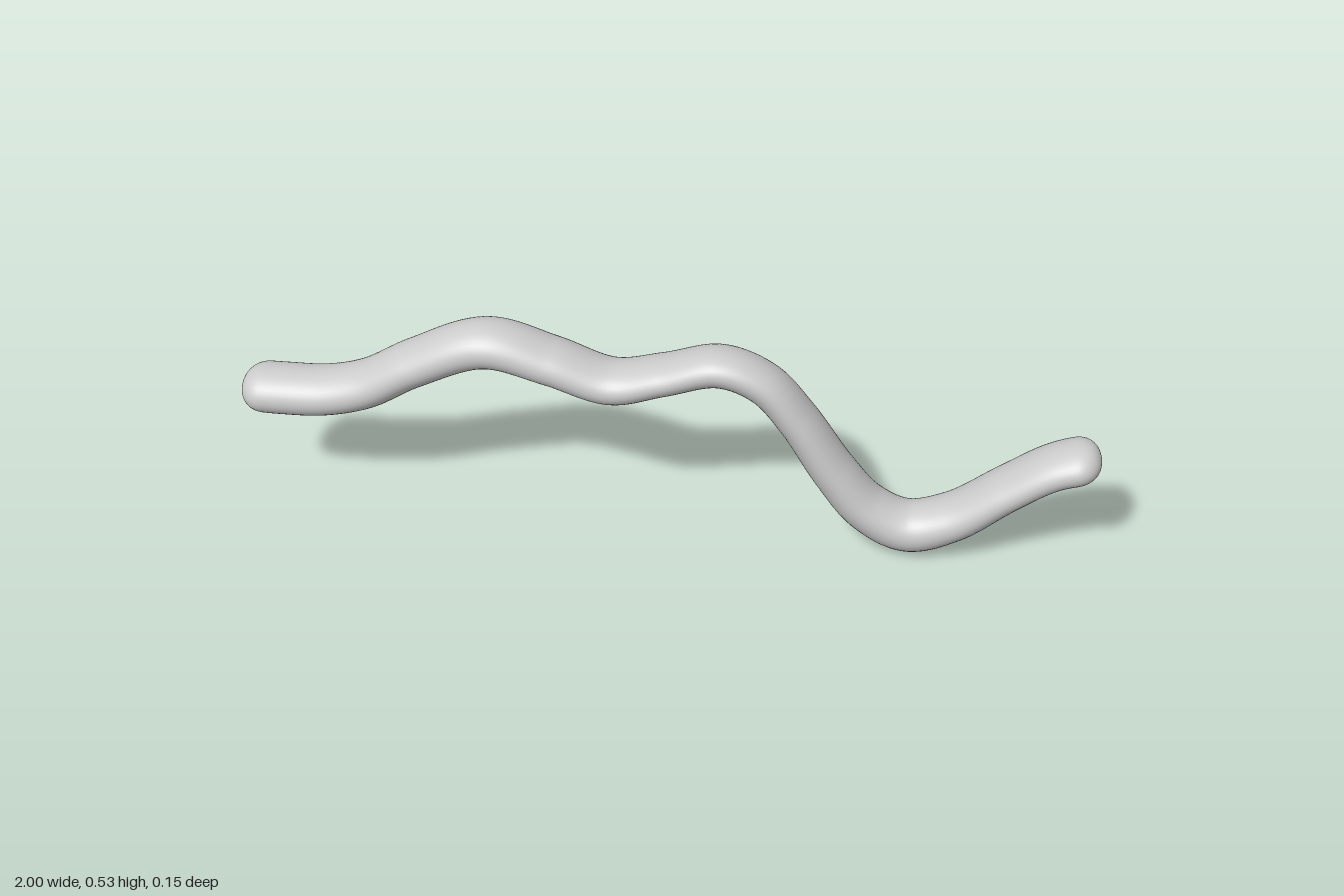
import * as THREE from 'three';

// Wavy centre line: x, y, half thickness
const KNOTS = [
  [-1, 0.305, 0.053], [-0.9, 0.305, 0.055], [-0.8, 0.311, 0.054], [-0.7, 0.34, 0.053],
  [-0.58, 0.412, 0.052], [-0.41, 0.484, 0.054], [-0.26, 0.45, 0.05], [-0.12, 0.407, 0.047],
  [0, 0.437, 0.043], [0.13, 0.474, 0.046], [0.23, 0.437, 0.047], [0.31, 0.345, 0.048],
  [0.4, 0.205, 0.052], [0.48, 0.108, 0.056], [0.575, 0.064, 0.06], [0.68, 0.102, 0.053],
  [0.8, 0.2, 0.046], [0.9, 0.273, 0.045], [1, 0.309, 0.048],
];
const HALF_WIDTH = 0.073;
const CAP = 0.06;

// Sweeps an oval along the curve, closing both ends with rounded caps
function sweptOval(rings = 260, sides = 40) {
  const path = new THREE.CatmullRomCurve3(KNOTS.map(([x, y]) => new THREE.Vector3(x, y, 0)));
  path.arcLengthDivisions = 1000;
  const thick = new THREE.CatmullRomCurve3(KNOTS.map(([x, , h]) => new THREE.Vector3(x, h, 0)));
  const length = path.getLength();

  // Ring positions: cosine spacing in the caps, even spacing between
  const stations = [];
  const capSteps = 14;
  for (let i = 0; i < capSteps; i++) stations.push(CAP * (1 - Math.cos((i / capSteps) * Math.PI / 2)));
  const endCap = stations.map((s) => length - s).reverse();
  for (let i = 0; i <= rings; i++) stations.push(CAP + (length - 2 * CAP) * i / rings);
  stations.push(...endCap);

  const positions = [], indices = [];
  stations.forEach((s, i) => {
    const u = s / length;
    const c = path.getPointAt(u), t = path.getTangentAt(u);
    const half = thick.getPoint(path.getUtoTmapping(u)).y;
    const d = Math.min(1, Math.min(s, length - s) / CAP);
    const scale = Math.pow(Math.max(0, 1 - Math.pow(1 - d, 2.2)), 1 / 2.2);
    // Slight sideways lean of the section around the steep middle stretch
    const lean = 0.18 * Math.exp(-(((c.x - 0.28) / 0.3) ** 2));
    for (let j = 0; j < sides; j++) {
      const a = (j / sides) * Math.PI * 2;
      const z = HALF_WIDTH * scale * Math.cos(a);
      const n = half * scale * Math.sin(a);
      positions.push(c.x - t.y * n, c.y + t.x * n + lean * z, z);
      if (i < stations.length - 1) {
        const k = (j + 1) % sides;
        const p = i * sides, q = p + sides;
        indices.push(p + j, q + j, p + k, q + j, q + k, p + k);
      }
    }
  });
  const geometry = new THREE.BufferGeometry();
  geometry.setAttribute('position', new THREE.Float32BufferAttribute(positions, 3));
  geometry.setIndex(indices);
  geometry.computeVertexNormals();
  return geometry;
}

export function createModel() {
  const group = new THREE.Group();
  group.name = 'wavyRod';
  const rod = new THREE.Mesh(sweptOval(), new THREE.MeshStandardMaterial({ color: 0xcccccc }));
  rod.name = 'rod';
  group.add(rod);
  return group;
}
